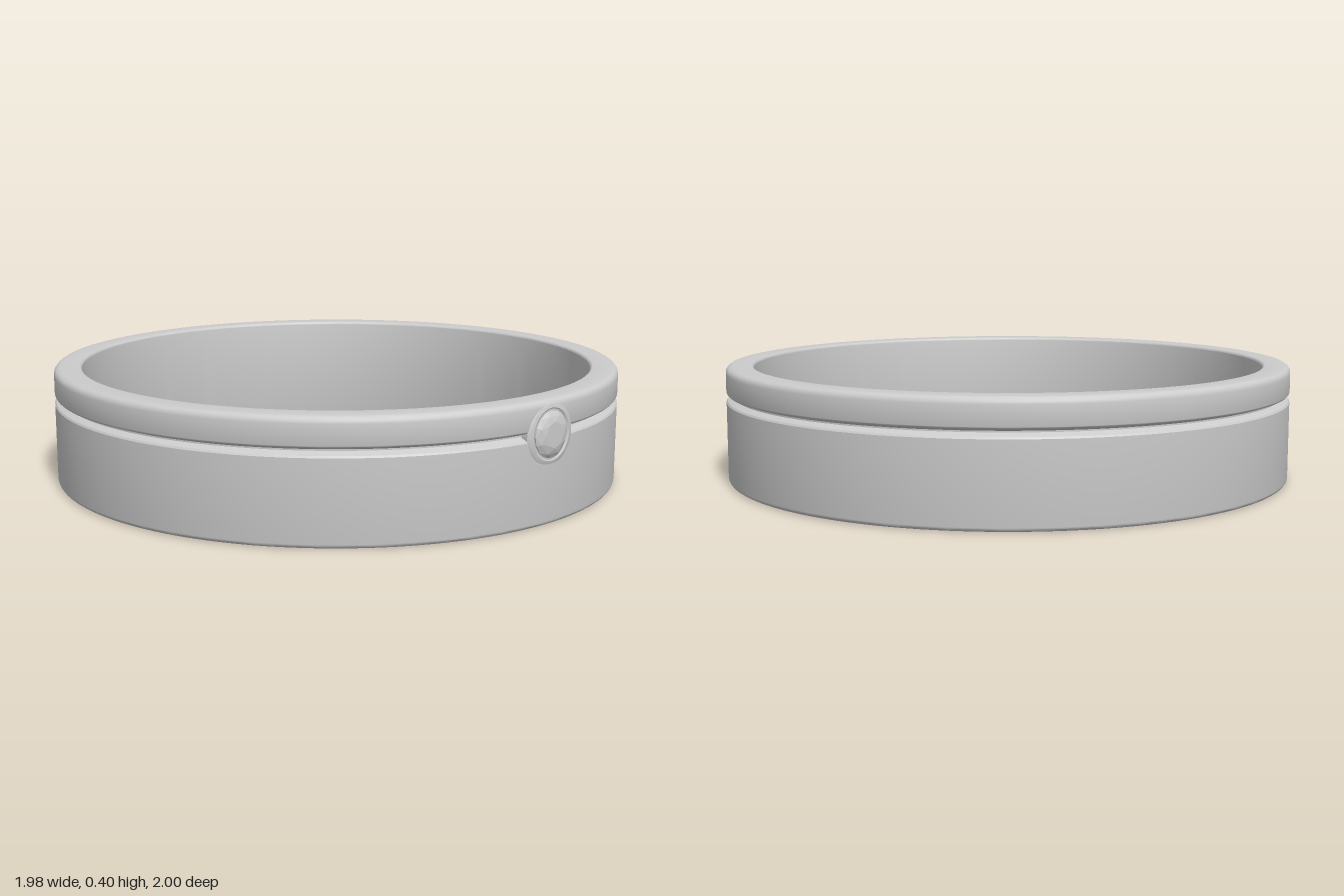
import * as THREE from 'three';
import { toCreasedNormals } from 'three/addons/utils/BufferGeometryUtils.js';
import { ConvexGeometry } from 'three/addons/geometries/ConvexGeometry.js';

const OUTER = 0.992, INNER = 0.896, HEIGHT = 0.4, CENTRE_Z = -0.008;
const GEM_Y = 0.29;

// Quarter-round corner as profile points, angles in degrees
function corner(cx, cy, r, from, to, steps = 4) {
  return Array.from({ length: steps + 1 }, (_, i) => {
    const a = THREE.MathUtils.degToRad(from + ((to - from) * i) / steps);
    return new THREE.Vector2(cx + r * Math.cos(a), cy + r * Math.sin(a));
  });
}

function lathe(points, segments) {
  return toCreasedNormals(new THREE.LatheGeometry(points, segments), 0.5);
}

// Points on a circle facing +z
function ring(count, radius, z, turn = 0) {
  return Array.from({ length: count }, (_, i) => {
    const a = ((i + turn) / count) * Math.PI * 2;
    return new THREE.Vector3(radius * Math.cos(a), radius * Math.sin(a), z);
  });
}

export function createModel() {
  const group = new THREE.Group();
  group.name = 'ring';
  const material = new THREE.MeshStandardMaterial({ color: 0xcccccc });

  // Band with rounded rims and a V groove around the outside
  const profile = [
    ...corner(OUTER - 0.014, 0.014, 0.014, -90, 0),
    new THREE.Vector2(OUTER, 0.276),
    new THREE.Vector2(OUTER - 0.004, 0.282),
    new THREE.Vector2(OUTER - 0.028, 0.292),
    new THREE.Vector2(OUTER - 0.028, 0.297),
    ...corner(OUTER - 0.012, 0.315, 0.012, -60, 0),
    ...corner(OUTER - 0.022, HEIGHT - 0.022, 0.022, 0, 90),
    ...corner(INNER + 0.01, HEIGHT - 0.01, 0.01, 90, 180),
    ...corner(INNER + 0.008, 0.008, 0.008, 180, 270),
  ];
  profile.push(profile[0].clone());
  const band = new THREE.Mesh(lathe(profile, 160), material);
  band.name = 'band';
  band.position.z = CENTRE_Z;
  group.add(band);

  // Low round seat that interrupts the groove
  const seatProfile = [[0.106, -0.03], [0.105, -0.008], [0.098, -0.002], [0.084, 0.001], [0.076, -0.004], [0, -0.004]]
    .map(([r, h]) => new THREE.Vector2(r, h));
  const seat = new THREE.Mesh(lathe(seatProfile, 48).rotateX(Math.PI / 2), material);
  seat.name = 'gemSeat';
  seat.position.set(0, GEM_Y, 0.985);
  group.add(seat);

  // Faceted gem: table, crown and girdle
  const stoneMaterial = material.clone();
  stoneMaterial.flatShading = true;
  const gem = new THREE.Mesh(new ConvexGeometry([
    ...ring(8, 0.042, 0),
    ...ring(8, 0.063, -0.006, 0.5),
    ...ring(16, 0.075, -0.015),
    ...ring(16, 0.075, -0.02),
    new THREE.Vector3(0, 0, -0.08),
  ]), stoneMaterial);
  gem.name = 'gem';
  gem.position.set(0, GEM_Y, 1);
  group.add(gem);

  return group;
}
